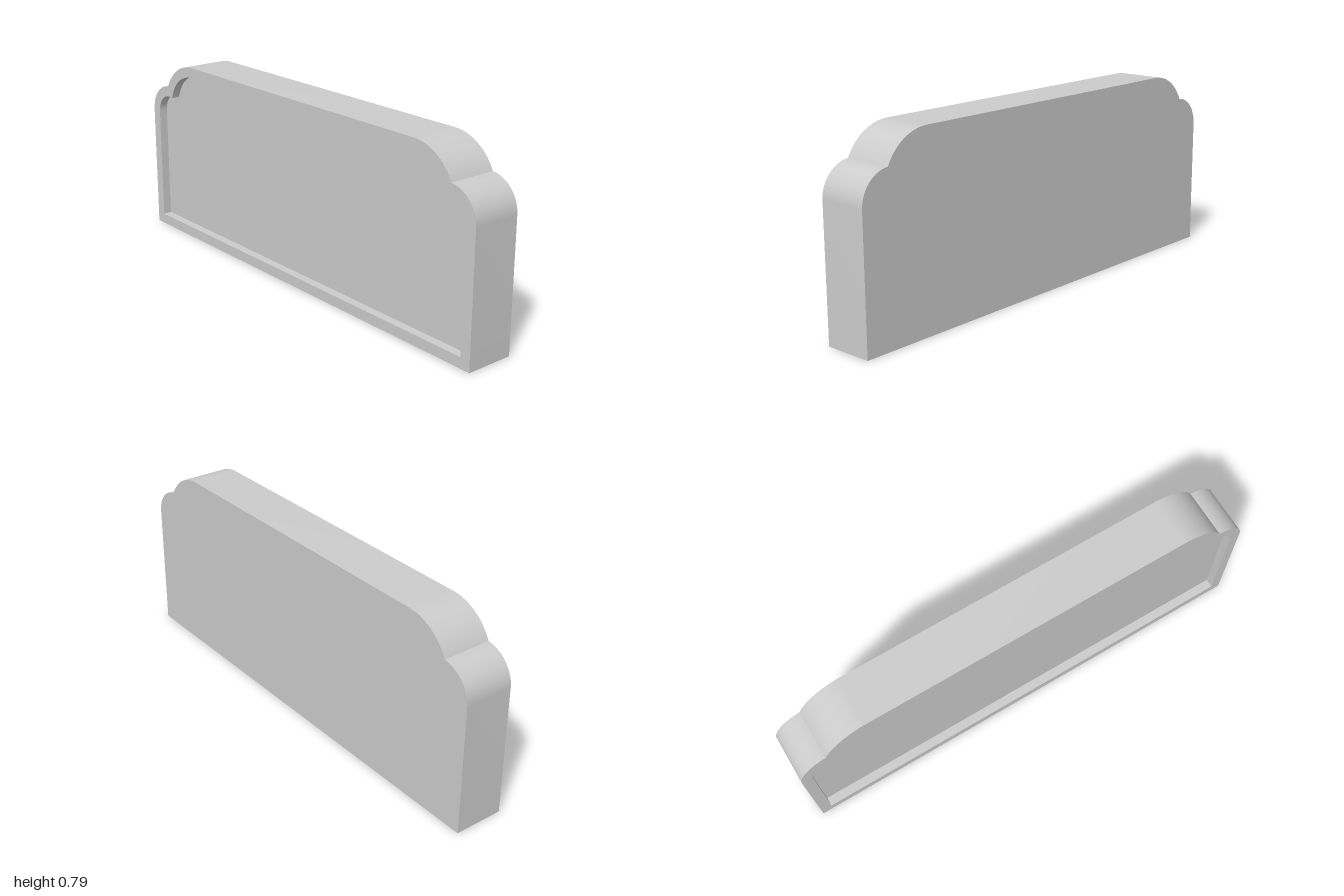
import * as THREE from 'three';
import { toCreasedNormals } from 'three/addons/utils/BufferGeometryUtils.js';

const FRONT = 0.103, BACK = -0.103, RIM = 0.045, RECESS = 0.037;
const material = new THREE.MeshStandardMaterial({ color: 0xcccccc, side: THREE.DoubleSide });

// Stepped arch outline, counter-clockwise from the lower +x corner to the lower -x corner
function outline(inset, segments = 14) {
  const shoulder = { x: 0.87, y: 0.54, r: 0.13 - inset };
  const crown = { x: 0.69, y: 0.577, r: 0.21 - inset };
  const dx = crown.x - shoulder.x, dy = crown.y - shoulder.y, d = Math.hypot(dx, dy);
  // Angles at which the two arcs meet in the notch
  const meet = (a, b) => Math.acos((d * d + a.r * a.r - b.r * b.r) / (2 * d * a.r));
  const shoulderEnd = Math.atan2(dy, dx) - meet(shoulder, crown);
  const crownStart = Math.atan2(-dy, -dx) + meet(crown, shoulder);

  const half = [new THREE.Vector2(1 - inset, inset)];
  const arc = (c, from, to, first) => {
    for (let i = first; i <= segments; i++) {
      const t = from + (to - from) * i / segments;
      half.push(new THREE.Vector2(c.x + c.r * Math.cos(t), c.y + c.r * Math.sin(t)));
    }
  };
  arc(shoulder, 0, shoulderEnd, 0);
  arc(crown, crownStart, Math.PI / 2, 1 - 1);
  return [...half, ...half.map(p => new THREE.Vector2(-p.x, p.y)).reverse()];
}

// Wall swept along z; its normals point to the right of the path
function wall(points, z0, z1) {
  const pos = [];
  for (let i = 0; i < points.length - 1; i++) {
    const a = points[i], b = points[i + 1];
    if (a.distanceTo(b) < 1e-5) continue;
    pos.push(a.x, a.y, z0, b.x, b.y, z0, b.x, b.y, z1);
    pos.push(a.x, a.y, z0, b.x, b.y, z1, a.x, a.y, z1);
  }
  const geometry = new THREE.BufferGeometry();
  geometry.setAttribute('position', new THREE.Float32BufferAttribute(pos, 3));
  return toCreasedNormals(geometry, 0.6);
}

// Flat face at depth z, optionally with an opening
function face(points, z, hole) {
  const shape = new THREE.Shape(points);
  if (hole) shape.holes.push(new THREE.Path(hole));
  return new THREE.ShapeGeometry(shape).translate(0, 0, z);
}

export function createModel() {
  const group = new THREE.Group();
  group.name = 'archedPanel';
  const add = (name, geometry) => {
    const mesh = new THREE.Mesh(geometry, material);
    mesh.name = name;
    group.add(mesh);
    return mesh;
  };

  const outer = outline(0), inner = outline(RIM);

  // Hollow shell, open underneath
  add('outerWall', wall(outer, BACK, FRONT));
  const back = add('backFace', face(outer, FRONT));
  back.rotation.y = Math.PI;

  // Front rim with a shallow sunken panel
  add('frontRim', face(outer, FRONT, inner));
  add('recessWall', wall([...inner, inner[0]].reverse(), FRONT - RECESS, FRONT));
  add('frontPanel', face(inner, FRONT - RECESS));

  return group;
}
